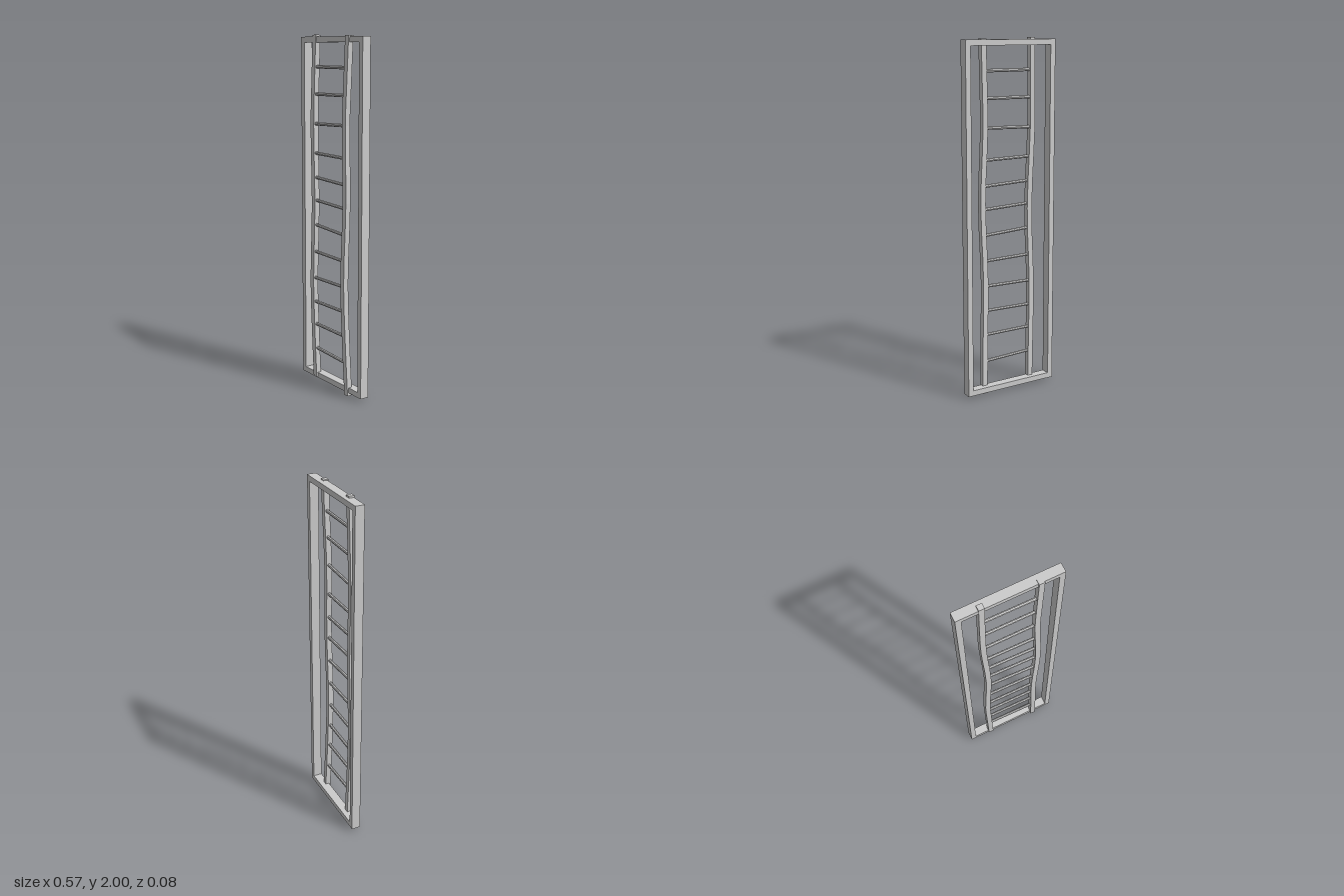
import * as THREE from 'three';

const material = new THREE.MeshStandardMaterial({ color: 0xcccccc, flatShading: true });

function addMesh(group, geometry, name) {
  const mesh = new THREE.Mesh(geometry, material);
  mesh.name = name;
  group.add(mesh);
  return mesh;
}

// Smooth path through [x, y, z] points
const path = (points) => new THREE.CatmullRomCurve3(points.map((p) => new THREE.Vector3(...p)));

// Square rail whose cross-sections follow a wavy path
function railGeometry(curve, width, segments) {
  const geometry = new THREE.BoxGeometry(width, 1, width, 1, segments, 1);
  const position = geometry.attributes.position;
  const centre = new THREE.Vector3();
  for (let i = 0; i < position.count; i++) {
    curve.getPoint(THREE.MathUtils.clamp(position.getY(i) + 0.5, 0, 1), centre);
    position.setXYZ(i, position.getX(i) + centre.x, centre.y, position.getZ(i) + centre.z);
  }
  geometry.computeVertexNormals();
  return geometry;
}

// Round bar between two points
function addBar(group, from, to, radius, name) {
  const direction = to.clone().sub(from);
  const bar = addMesh(group, new THREE.CylinderGeometry(radius, radius, direction.length(), 8), name);
  bar.position.copy(from).add(to).multiplyScalar(0.5);
  bar.quaternion.setFromUnitVectors(new THREE.Vector3(0, 1, 0), direction.normalize());
}

// Point of the rail path at a given height
function pointAtHeight(curve, y) {
  let low = 0, high = 1;
  for (let i = 0; i < 24; i++) {
    const mid = (low + high) / 2;
    if (curve.getPoint(mid).y < y) low = mid;
    else high = mid;
  }
  const point = curve.getPoint(low);
  point.y = y;
  return point;
}

export function createModel() {
  const model = new THREE.Group();
  model.name = 'framedLadder';

  // Rectangular outer frame
  const halfWidth = 0.284, bottom = 0.016, top = 1.99, bar = 0.031;
  const outline = new THREE.Shape();
  outline.moveTo(-halfWidth, bottom).lineTo(halfWidth, bottom).lineTo(halfWidth, top).lineTo(-halfWidth, top).closePath();
  const opening = new THREE.Path();
  const inner = halfWidth - bar;
  opening.moveTo(-inner, bottom + bar).lineTo(-inner, top - bar).lineTo(inner, top - bar).lineTo(inner, bottom + bar).closePath();
  outline.holes.push(opening);
  const frame = new THREE.ExtrudeGeometry(outline, { depth: 0.052, bevelEnabled: false });
  frame.translate(0, 0, -0.04);
  addMesh(model, frame, 'outerFrame');

  // Crooked side rails
  const rightPath = path([
    [-0.146, 0.02, 0.004], [-0.154, 0.3, 0.01], [-0.16, 0.6, 0.014], [-0.144, 1.05, 0.014],
    [-0.159, 1.5, 0.01], [-0.156, 1.75, 0.005], [-0.15, 2.0, 0],
  ]);
  const leftPath = path([
    [0.159, 0, 0.005], [0.15, 0.3, 0.015], [0.141, 0.65, 0.021], [0.157, 1.1, 0.019],
    [0.143, 1.52, 0.014], [0.149, 1.75, 0.009], [0.157, 1.995, 0.004],
  ]);
  addMesh(model, railGeometry(rightPath, 0.031, 18), 'rightRail');
  addMesh(model, railGeometry(leftPath, 0.031, 18), 'leftRail');

  // Uneven rungs: height at the right rail, height at the left rail
  const rungs = new THREE.Group();
  rungs.name = 'rungs';
  const heights = [
    [0.198, 0.186], [0.344, 0.342], [0.479, 0.484], [0.622, 0.627], [0.778, 0.773], [0.936, 0.92],
    [1.078, 1.067], [1.209, 1.198], [1.346, 1.343], [1.51, 1.519], [1.676, 1.679], [1.826, 1.826],
  ];
  heights.forEach(([rightY, leftY]) => {
    addBar(rungs, pointAtHeight(rightPath, rightY), pointAtHeight(leftPath, leftY), 0.0095, 'rung');
  });
  model.add(rungs);

  return model;
}
